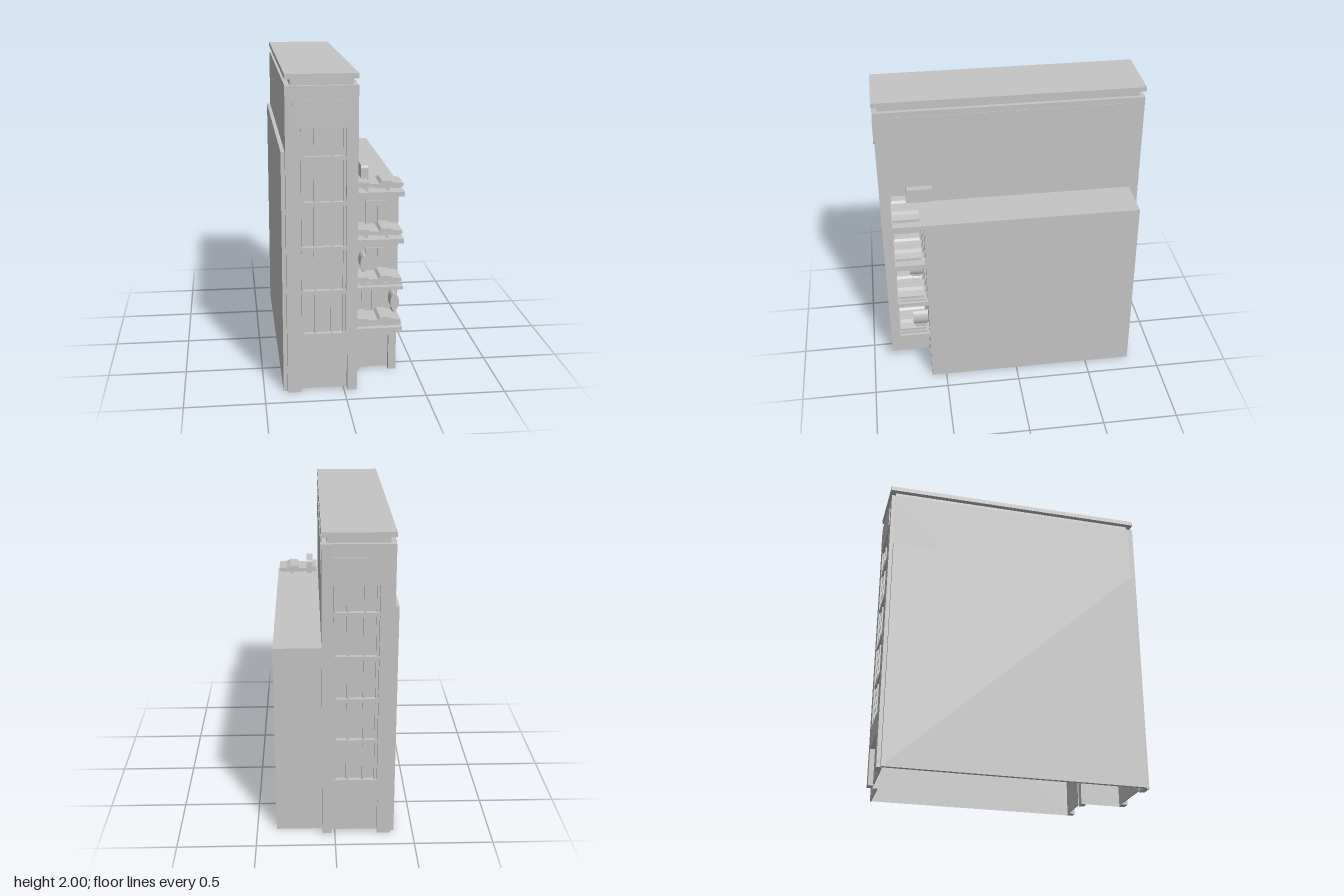
import * as THREE from 'three';

const stone = new THREE.MeshStandardMaterial({ color: 0xc4c4c4, side: THREE.DoubleSide });
stone.name = 'paleGrey';

// Tower and wing extents
const TX0 = -0.355, TX1 = 0.08, TZ = 0.87, TY = 1.93;
const WX1 = 0.375, WZ0 = -0.81, WZ1 = 0.6, WY = 1.265;
const DEPTH = 0.035;

function add(parent, name, geometry) {
  const mesh = new THREE.Mesh(geometry, stone);
  mesh.name = name;
  parent.add(mesh);
  return mesh;
}

// Box given by its limits on each axis
function box(parent, name, x0, x1, y0, y1, z0, z1) {
  const mesh = add(parent, name, new THREE.BoxGeometry(x1 - x0, y1 - y0, z1 - z0));
  mesh.position.set((x0 + x1) / 2, (y0 + y1) / 2, (z0 + z1) / 2);
  return mesh;
}

function polygon(points) {
  return new THREE.Shape(points.map(([x, y]) => new THREE.Vector2(x, y)));
}

// Outline in x and y, extruded from z0 to z1
function slab(parent, name, shape, z0, z1) {
  const mesh = add(parent, name, new THREE.ExtrudeGeometry(shape, { depth: z1 - z0, bevelEnabled: false }));
  mesh.position.z = z0;
  return mesh;
}

// Flat wall facing +x, outlined by [z, y] points
function sideWall(parent, name, x, points) {
  const mesh = add(parent, name, new THREE.ShapeGeometry(polygon(points.map(([z, y]) => [-z, y]))));
  mesh.rotation.y = Math.PI / 2;
  mesh.position.x = x;
  return mesh;
}

// Wall outline with a doorway open at the ground
function doorWall(x0, x1, top, d0, d1, doorTop) {
  return polygon([[x0, 0], [d0, 0], [d0, doorTop], [d1, doorTop], [d1, 0], [x1, 0], [x1, top], [x0, top]]);
}

// One narrow end of the tower: doorway, tall window and panel above it
function towerEnd() {
  const end = new THREE.Group();
  end.name = 'towerEnd';
  const wx0 = -0.265, wx1 = 0.01, wy0 = 0.39, wy1 = 1.68;
  const wall = doorWall(TX0, TX1, TY, -0.27, 0.02, 0.24);
  wall.holes.push(new THREE.Path([[wx0, wy0], [wx1, wy0], [wx1, wy1], [wx0, wy1]]
    .map(([x, y]) => new THREE.Vector2(x, y))));
  slab(end, 'endWall', wall, TZ - DEPTH, TZ);
  box(end, 'doorPanel', -0.275, 0.025, 0.01, 0.245, TZ - DEPTH - 0.006, TZ - DEPTH + 0.003);
  box(end, 'windowPane', wx0 - 0.005, wx1 + 0.005, wy0 - 0.005, wy1 + 0.005, TZ - DEPTH - 0.006, TZ - DEPTH + 0.003);
  for (const x of [-0.254, -0.178, -0.077, 0.0]) {
    box(end, 'windowMullion', x - 0.008, x + 0.008, wy0, wy1, TZ - DEPTH, TZ - 0.01);
  }
  for (const y of [0.66, 0.94, 1.22, 1.5]) {
    box(end, 'windowTransom', wx0, wx1, y - 0.011, y + 0.011, TZ - DEPTH, TZ - 0.002);
  }
  slab(end, 'headPanel', polygon([[-0.31, 1.85], [-0.308, 1.72], [-0.295, 1.705], [-0.265, 1.682],
    [0.01, 1.682], [0.03, 1.705], [0.042, 1.72], [0.044, 1.85]]), TZ, TZ + 0.006);
  return end;
}

// Balcony with a raised, uneven table-like deck on wedge feet
function balcony(y, wedge) {
  const group = new THREE.Group();
  group.name = 'balcony';
  // Floor, with a sloping underside on the lower storeys
  const floor = add(group, 'balconyFloor', new THREE.BoxGeometry(WX1 - TX1, 0.03, 0.2));
  floor.position.set((TX1 + WX1) / 2, y + 0.015, 0.7);
  if (wedge) {
    const p = floor.geometry.attributes.position;
    for (let i = 0; i < p.count; i++) {
      if (p.getZ(i) > 0 && p.getY(i) < 0) p.setY(i, 0.003 - 0.01);
    }
    floor.geometry.computeVertexNormals();
  }
  const top = y + 0.03;
  slab(group, 'raisedDeck', polygon([[0.09, 0.03], [0.13, 0.026], [0.16, 0.032], [0.225, 0.022],
    [0.27, 0.03], [0.33, 0.022], [0.365, 0.034], [0.365, 0.052], [0.31, 0.058], [0.285, 0.07],
    [0.235, 0.07], [0.22, 0.052], [0.165, 0.052], [0.15, 0.064], [0.09, 0.064]]
    .map(([x, h]) => [x, top + h])), 0.625, 0.795);
  for (const [x0, x1] of [[0.115, 0.155], [0.245, 0.285]]) {
    slab(group, 'deckFoot', polygon([[x1 - 0.012, top], [x1, top], [x1, top + 0.03], [x0, top + 0.03]]), 0.65, 0.77);
  }
  return group;
}

// Upright rounded seat back, seen edge-on from the front
function seatBack(parent, x0, x1, y0, y1, z0, z1, r) {
  const s = new THREE.Shape();
  s.moveTo(-z0, y0);
  s.lineTo(-z0, y1 - r);
  s.quadraticCurveTo(-z0, y1, -z0 - r, y1);
  s.lineTo(-z1 + r, y1);
  s.quadraticCurveTo(-z1, y1, -z1, y1 - r);
  s.lineTo(-z1, y0);
  s.closePath();
  const mesh = add(parent, 'seatBack', new THREE.ExtrudeGeometry(s, { depth: x1 - x0, bevelEnabled: false }));
  mesh.rotation.y = Math.PI / 2;
  mesh.position.x = x0;
}

// Oval drum lying along z
function drum(parent, name, x, y, rx, ry, z0, z1) {
  const geometry = new THREE.CylinderGeometry(1, 1, z1 - z0, 20);
  geometry.rotateX(Math.PI / 2);
  geometry.scale(rx, ry, 1);
  add(parent, name, geometry).position.set(x, y, (z0 + z1) / 2);
}

export function createModel() {
  const model = new THREE.Group();
  model.name = 'building';

  // Tower, open underneath
  const tower = new THREE.Group();
  tower.name = 'tower';
  model.add(tower);
  const front = towerEnd();
  const back = towerEnd();
  back.scale.z = -1;
  tower.add(front, back);
  sideWall(tower, 'towerLeftWall', TX0, [[-TZ, 0], [TZ, 0], [TZ, TY], [-TZ, TY]]);
  sideWall(tower, 'towerRightWall', TX1, [[-TZ, 0], [WZ0, 0], [WZ0, WY], [WZ1, WY], [WZ1, 0],
    [TZ, 0], [TZ, TY], [-TZ, TY]]);
  box(tower, 'towerTop', TX0 + 0.002, TX1 - 0.002, TY - 0.01, TY, -TZ + 0.002, TZ - 0.002);
  box(tower, 'roofNeck', -0.322, 0.05, TY, 1.97, -0.84, 0.84);
  box(tower, 'roofCap', TX0, TX1, 1.97, 2, -0.875, 0.875);
  box(tower, 'longSidePanel', TX1, TX1 + 0.004, 1.71, 1.895, -0.74, 0.76);
  box(tower, 'partyWall', -0.38, TX0 - 0.001, 0, 1.54, -0.845, 0.845);

  // Lower wing, open underneath
  const wing = new THREE.Group();
  wing.name = 'wing';
  model.add(wing);
  sideWall(wing, 'wingRightWall', WX1, [[WZ0, 0], [WZ1, 0], [WZ1, WY], [WZ0, WY]]);
  slab(wing, 'wingFrontWall', doorWall(TX1, WX1, WY, 0.135, 0.325, 0.24), WZ1 - DEPTH, WZ1);
  box(wing, 'wingDoor', 0.13, 0.33, 0.01, 0.245, WZ1 - DEPTH - 0.006, WZ1 - DEPTH + 0.003);
  box(wing, 'wingBackWall', TX1, WX1, 0, WY, WZ0, WZ0 + 0.01);
  box(wing, 'wingRoof', TX1, WX1, WY - 0.01, WY, WZ0, WZ1);

  // Balconies and the glazed doors behind them
  [0.35, 0.625, 0.935, 1.235].forEach((y, i) => model.add(balcony(y, i < 2)));
  for (const [y0, y1] of [[0.655, 0.85], [0.965, 1.16]]) {
    box(wing, 'balconyDoor', 0.165, 0.235, y0, y1, WZ1, WZ1 + 0.015);
    box(wing, 'balconyDoor', 0.242, 0.3, y0, y1 - 0.003, WZ1, WZ1 + 0.009);
  }
  box(wing, 'balconyDoor', 0.145, 0.208, 0.38, 0.595, WZ1, WZ1 + 0.009);
  slab(wing, 'openBalconyDoor', polygon([[0.21, 0.38], [0.235, 0.44], [0.28, 0.595], [0.21, 0.595]]), WZ1, WZ1 + 0.015);

  // Low rails on the two lower balconies
  box(model, 'balconyRail', 0.082, 0.37, 0.395, 0.41, 0.61, 0.795);
  box(model, 'balconyRail', 0.082, 0.37, 0.668, 0.68, 0.61, 0.795);

  // Seats
  seatBack(model, 0.12, 0.165, 1.315, 1.41, 0.52, 0.7, 0.02);
  drum(model, 'roundSeat', 0.145, 0.78, 0.025, 0.052, 0.605, 0.705);
  box(model, 'seatPost', 0.135, 0.155, 0.655, 0.735, 0.62, 0.69);
  drum(model, 'roundSeat', 0.343, 0.512, 0.028, 0.053, 0.605, 0.705);
  box(model, 'seatPost', 0.333, 0.353, 0.38, 0.465, 0.62, 0.69);

  return model;
}
